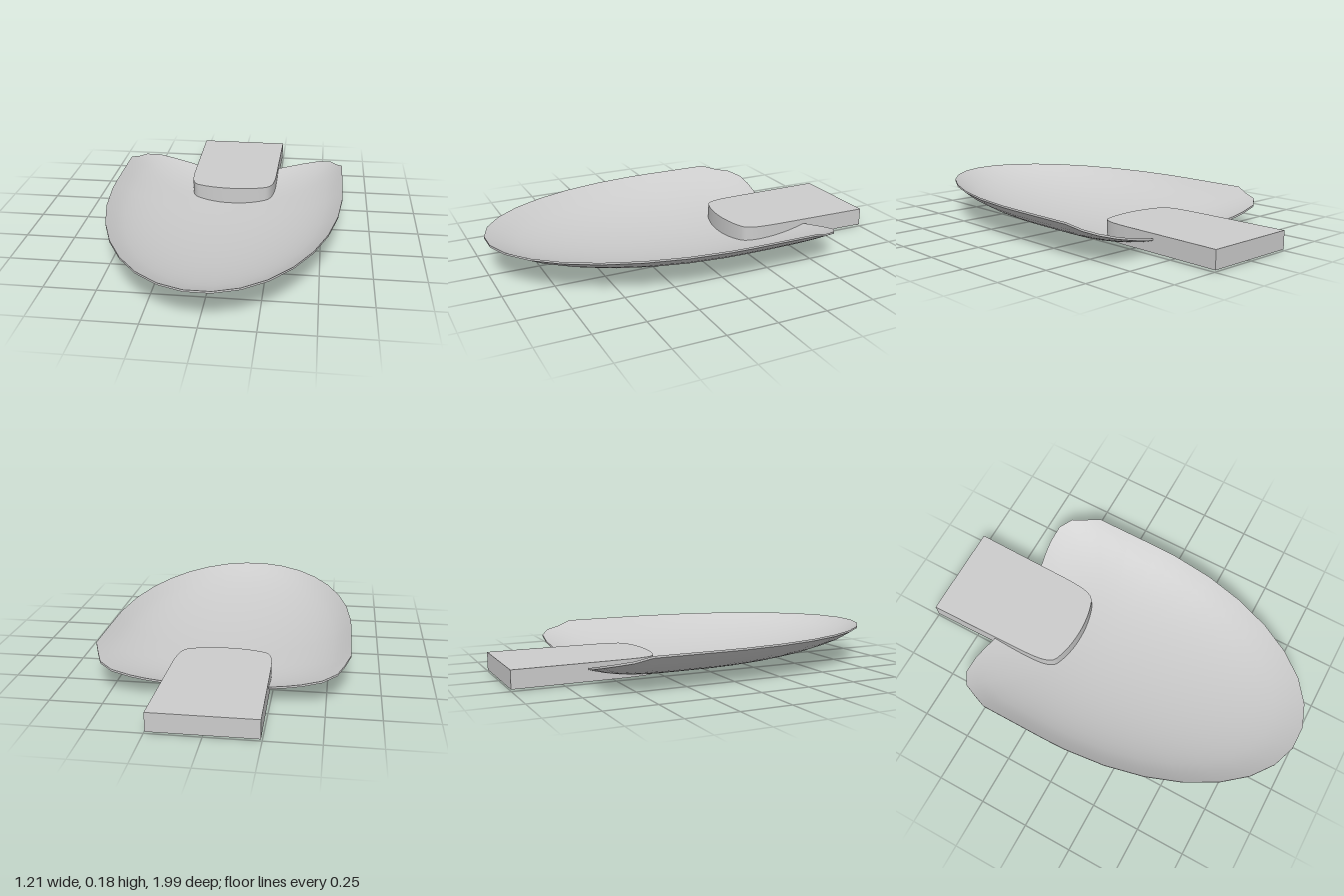
import * as THREE from 'three';
import { toCreasedNormals } from 'three/addons/utils/BufferGeometryUtils.js';

const HALF_WIDTH = 0.605;
const CENTRE_Z = -0.1;
const THICKNESS = 0.01;

// Underside height of the dish: an ellipsoid in front, a trough curling up behind
function dishHeight(x, z) {
  const across = (x / HALF_WIDTH) ** 2;
  const along = z > CENTRE_Z
    ? ((z - CENTRE_Z) / 1.1) ** 2
    : 0.42 * (Math.max(0, -z - 0.26) / 0.38) ** 2.5 * (1 - across);
  const r2 = Math.min(1, across + along);
  return 0.002 + 0.168 * (1 - Math.sqrt(1 - 0.88 * r2)) / (1 - Math.sqrt(0.12));
}

// Plan outline as [x, z], from the front tip along +x to the back, then mirrored
function dishOutline() {
  const half = [];
  for (let i = 0; i < 8; i++) {
    const a = (i + 0.5) * Math.PI / 16;
    half.push([HALF_WIDTH * Math.sin(a), CENTRE_Z + 1.1 * Math.cos(a)]);
  }
  half.push([0.605, -0.1], [0.605, -0.28], [0.605, -0.46], [0.575, -0.535], [0.545, -0.605],
    [0.48, -0.65], [0.39, -0.655], [0.32, -0.648], [0.23, -0.632], [0.12, -0.62]);
  return [...half, ...half.slice().reverse().map(([x, z]) => [-x, z])];
}

function createDish() {
  const outline = dishOutline();
  const n = outline.length;
  const rings = 14;
  const pos = [];
  const index = [];

  // Inner and outer skins, built from rings shrinking to the centre
  for (const top of [true, false]) {
    const base = pos.length / 3;
    for (let r = 0; r <= rings; r++) {
      const s = r / rings;
      for (const [ox, oz] of outline) {
        const x = ox * s;
        const z = CENTRE_Z + (oz - CENTRE_Z) * s;
        pos.push(x, dishHeight(x, z) + (top ? THICKNESS : 0), z);
      }
    }
    for (let r = 0; r < rings; r++) {
      for (let i = 0; i < n; i++) {
        const j = (i + 1) % n;
        const a = base + r * n + i, b = base + r * n + j;
        const c = a + n, d = b + n;
        if (top) index.push(a, c, d);
        else index.push(a, d, c);
        if (r > 0) {
          if (top) index.push(a, d, b);
          else index.push(a, b, d);
        }
      }
    }
  }

  // Narrow wall around the rim
  const topRim = rings * n;
  const lowRim = (rings + 1) * n + rings * n;
  for (let i = 0; i < n; i++) {
    const j = (i + 1) % n;
    index.push(lowRim + i, lowRim + j, topRim + j, lowRim + i, topRim + j, topRim + i);
  }

  const g = new THREE.BufferGeometry();
  g.setAttribute('position', new THREE.Float32BufferAttribute(pos, 3));
  g.setIndex(index);
  return toCreasedNormals(g, Math.PI / 5);
}

// Flat tongue with a rounded front end, set into the dish
function createTongue() {
  const s = new THREE.Shape();
  s.moveTo(0.245, 1);
  s.lineTo(-0.245, 1);
  s.lineTo(-0.237, 0.5);
  s.bezierCurveTo(-0.235, 0.36, -0.225, 0.3, -0.185, 0.283);
  s.bezierCurveTo(-0.08, 0.24, 0.08, 0.24, 0.185, 0.283);
  s.bezierCurveTo(0.225, 0.3, 0.235, 0.36, 0.237, 0.5);
  s.closePath();
  const g = new THREE.ExtrudeGeometry(s, { depth: 0.09, bevelEnabled: false, curveSegments: 12 });
  g.rotateX(-Math.PI / 2);
  g.translate(0, 0.01, 0);
  return toCreasedNormals(g, Math.PI / 5);
}

export function createModel() {
  const group = new THREE.Group();
  const material = new THREE.MeshStandardMaterial({ color: 0xcccccc, side: THREE.DoubleSide });
  const parts = { dish: createDish(), tongue: createTongue() };
  for (const [name, geometry] of Object.entries(parts)) {
    const mesh = new THREE.Mesh(geometry, material);
    mesh.name = name;
    group.add(mesh);
  }
  return group;
}
